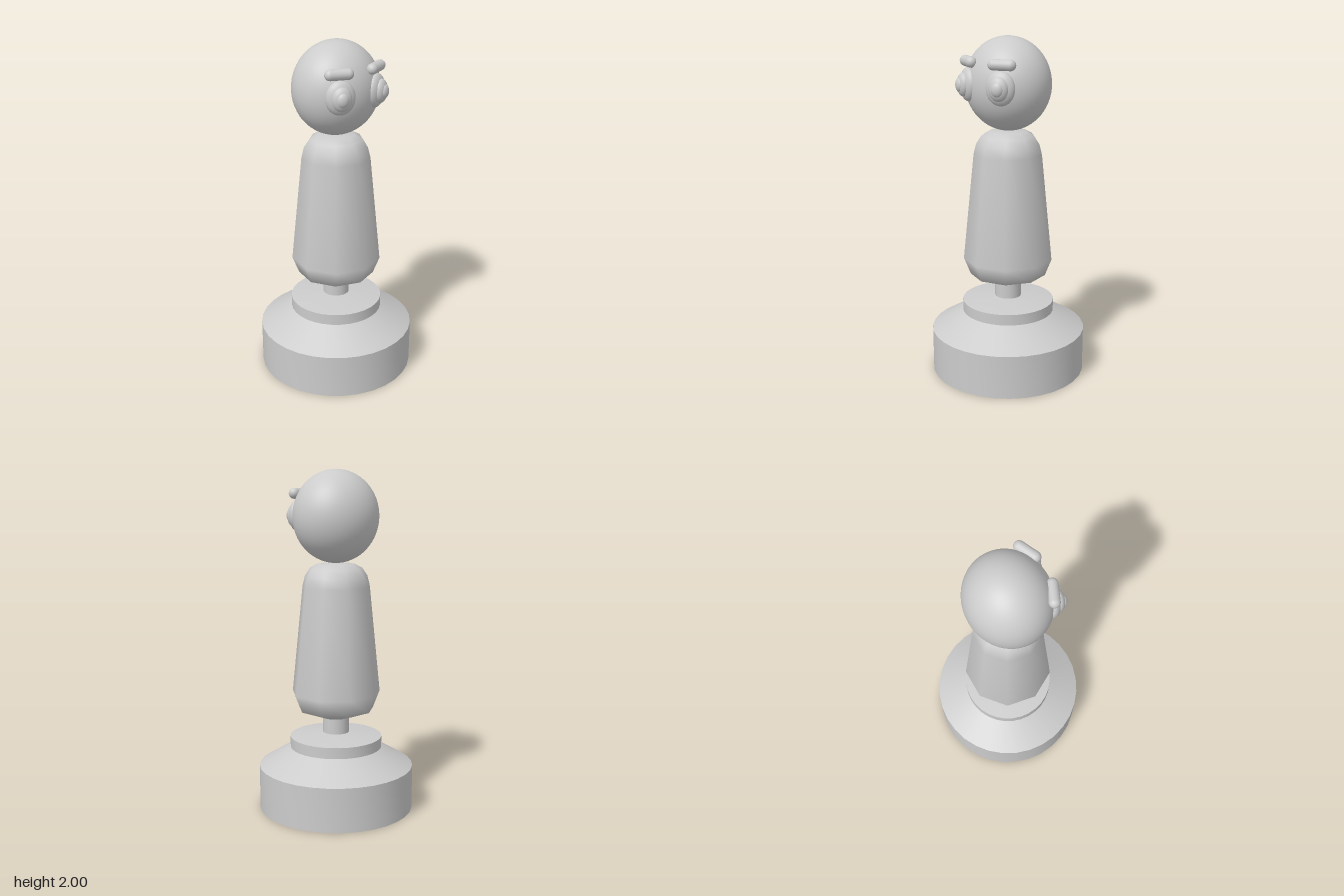
import * as THREE from 'three';
import { toCreasedNormals } from 'three/addons/utils/BufferGeometryUtils.js';

const material = new THREE.MeshStandardMaterial({ color: 0xcccccc });

function add(parent, name, geometry) {
  const mesh = new THREE.Mesh(geometry, material);
  mesh.name = name;
  parent.add(mesh);
  return mesh;
}

// Profile points are [radius, height], bottom to top
function lathe(points, sides) {
  return new THREE.LatheGeometry(points.map(([r, y]) => new THREE.Vector2(r, y)), sides);
}

function ellipsoid(rx, ry, rz, w = 24, h = 16) {
  return new THREE.SphereGeometry(1, w, h).scale(rx, ry, rz);
}

export function createModel() {
  const group = new THREE.Group();
  group.name = 'figurine';

  // Stepped round base with sharp rims and the short post on it
  const base = lathe([
    [0, 0], [0.458, 0], [0.458, 0.26], [0.272, 0.37], [0.272, 0.435], [0.078, 0.458], [0, 0.458],
  ], 32);
  add(group, 'base', toCreasedNormals(base, 0.4));
  add(group, 'post', new THREE.CylinderGeometry(0.078, 0.078, 0.14, 32)).position.y = 0.51;

  // Nine-sided tapering body, smoothly shaded
  add(group, 'body', lathe([
    [0, 0.555], [0.115, 0.56], [0.225, 0.6], [0.264, 0.7], [0.2, 1.33],
    [0.185, 1.39], [0.155, 1.435], [0.11, 1.46], [0.05, 1.467], [0, 1.468],
  ], 9));

  add(group, 'head', ellipsoid(0.258, 0.267, 0.235, 48, 32)).position.y = 1.733;

  // Bulging eyes and brows, turned outwards
  for (const side of [1, -1]) {
    const label = side > 0 ? 'left' : 'right';
    const eye = new THREE.Group();
    eye.name = label + 'Eye';
    eye.position.set(side * 0.125, 1.735, 0.19);
    eye.rotation.y = side * 0.42;
    add(eye, 'eyeball', ellipsoid(0.084, 0.096, 0.045));
    add(eye, 'iris', ellipsoid(0.056, 0.068, 0.036)).position.z = 0.03;
    add(eye, 'pupil', ellipsoid(0.035, 0.042, 0.026)).position.z = 0.05;
    group.add(eye);

    const brow = add(group, label + 'Brow', new THREE.CapsuleGeometry(0.031, 0.1, 8, 16).rotateZ(Math.PI / 2));
    brow.position.set(side * 0.13, 1.862, 0.185);
    brow.rotation.y = side * 0.42;
  }
  return group;
}
